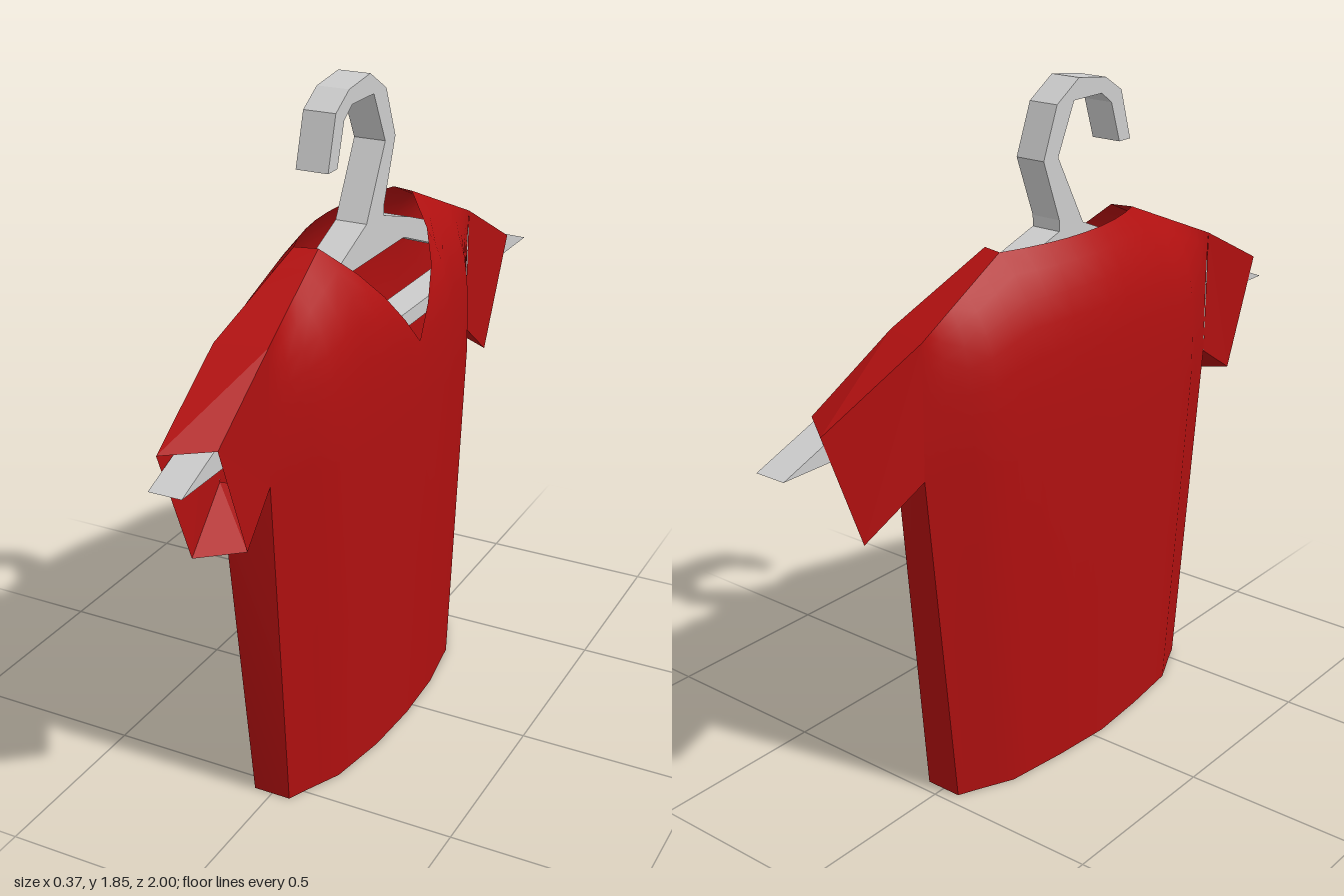
import * as THREE from 'three';

const MID = 0.04; // the shirt hangs slightly off centre along z
const NECK = 0.46, NECK_Y = 1.46, SHOULDER_Y = 1.32, ARM_Y = 0.96, V_Y = 1.15;
const lerp = THREE.MathUtils.lerp;

const red = new THREE.MeshStandardMaterial({ color: 0xb01010, side: THREE.DoubleSide });
const redFlat = new THREE.MeshStandardMaterial({ color: 0xb01010, side: THREE.DoubleSide, flatShading: true });
const grey = new THREE.MeshStandardMaterial({ color: 0xcccccc, flatShading: true });

// Piecewise linear lookup through [input, output] pairs
function lookup(table, v) {
  for (let i = 1; i < table.length; i++) {
    const [a, fa] = table[i - 1], [b, fb] = table[i];
    if (v <= b) return lerp(fa, fb, (v - a) / (b - a));
  }
  return table[table.length - 1][1];
}

// Grid surface through the points fn(u, v)
function surface(name, us, vs, fn, flip, material = red) {
  const pos = [], idx = [], n = vs.length;
  us.forEach((u) => vs.forEach((v) => pos.push(...fn(u, v))));
  for (let i = 0; i < us.length - 1; i++) {
    for (let j = 0; j < n - 1; j++) {
      const a = i * n + j, b = a + n;
      if (flip) idx.push(a, b, a + 1, b, b + 1, a + 1);
      else idx.push(a, a + 1, b, b, a + 1, b + 1);
    }
  }
  const geo = new THREE.BufferGeometry();
  geo.setAttribute('position', new THREE.Float32BufferAttribute(pos, 3));
  geo.setIndex(idx);
  geo.computeVertexNormals();
  const mesh = new THREE.Mesh(geo, material);
  mesh.name = name;
  return mesh;
}

// Shoulder height at t, where t runs from -1 to 1 across the shirt
function shoulderY(t) {
  const a = Math.abs(t);
  return a < NECK ? NECK_Y : lerp(NECK_Y, SHOULDER_Y, (a - NECK) / (1 - NECK));
}

// Depth of the top seam; the back neckline bows outward
function seamX(t, side) {
  const a = Math.abs(t);
  if (a >= NECK) return lerp(0.03, 0.065, (a - NECK) / (1 - NECK));
  return side > 0 ? 0.03 : lerp(0.085, 0.03, (a / NECK) ** 2);
}

// Point on the front (side 1) or back (side -1) of the torso
function torsoPoint(t, y, side) {
  const a = Math.abs(t);
  const belly = lookup([[0, 0.158], [ARM_Y, 0.185], [1.5, 0.185]], y);
  const round = lookup([[0, 1], [0.35, side > 0 ? 0.95 : 0.91], [0.7, 0.77], [0.9, 0.47], [1, 0.33]], a);
  const q = THREE.MathUtils.clamp((y - ARM_Y) / (shoulderY(t) - ARM_Y), 0, 1);
  const x = lerp(belly * round, seamX(t, side), q ** 4.5);
  const half = lookup([[0, 0.505], [ARM_Y, side > 0 ? 0.58 : 0.61], [1.5, side > 0 ? 0.578 : 0.61]], y);
  return [side * x, y, MID + t * half];
}

function torsoPanel(name, side) {
  const h = [0, 0.12, 0.24, 0.35, NECK, 0.58, 0.7, 0.8, 0.9, 0.96, 1];
  const ts = [...h.slice(1).reverse().map((t) => -t), ...h];
  const rows = [-1, -0.5, 0, 0.3, 0.5, 0.65, 0.78, 0.9, 1];
  return surface(name, ts, rows, (t, v) => {
    const a = Math.abs(t);
    // The front is cut down to a V
    const top = side > 0 && a < NECK ? lerp(V_Y, NECK_Y, a / NECK) : shoulderY(t);
    return torsoPoint(t, v < 0 ? ARM_Y * (1 + v) : lerp(ARM_Y, top, v), side);
  }, side < 0);
}

// Four-sided sleeve with a slanted cuff; k is the direction along z
function sleeve(name, k) {
  const base = [
    torsoPoint(1, SHOULDER_Y, 1), torsoPoint(1, ARM_Y, 1),
    torsoPoint(1, ARM_Y, -1), torsoPoint(1, SHOULDER_Y, -1),
  ];
  const cuff = [[0.08, 1.17, 0.88], [0.07, 0.85, 0.75], [-0.03, 0.85, 0.835], [-0.03, 1.17, 0.96]];
  return surface(name, [0, 1, 2, 3, 0], [base, cuff], (i, ring) => {
    const [x, y, z] = ring[i];
    return [x, y, MID + k * (z - MID)];
  }, k < 0, redFlat);
}

// Flat hanger: hook, neck, arms and lower bar cut from one outline of [z, y]
function hanger() {
  const toPoints = (list) => list.map(([a, b]) => new THREE.Vector2(a, b));
  const shape = new THREE.Shape(toPoints([
    [-1, 1.1], [1, 1.1], [0.24, 1.405], [0.1, 1.465],
    [-0.005, 1.655], [0.06, 1.79], [0.177, 1.79], [0.22, 1.76], [0.257, 1.65],
    [0.305, 1.65], [0.263, 1.787], [0.193, 1.83], [0.08, 1.845], [-0.01, 1.79],
    [-0.064, 1.655], [0, 1.49], [0, 1.46], [-0.16, 1.41],
  ]));
  shape.holes.push(new THREE.Path(toPoints([
    [0.21, 1.365], [0.72, 1.145], [-0.68, 1.145], [-0.12, 1.365],
  ])));
  const geo = new THREE.ExtrudeGeometry(shape, { depth: 0.088, bevelEnabled: false });
  geo.rotateY(-Math.PI / 2);
  geo.translate(0.058, 0, 0);
  const mesh = new THREE.Mesh(geo, grey);
  mesh.name = 'hanger';
  return mesh;
}

export function createModel() {
  const model = new THREE.Group();
  model.name = 'shirtOnHanger';
  const shirt = new THREE.Group();
  shirt.name = 'shirt';
  shirt.add(torsoPanel('neckSidePanel', 1), torsoPanel('backPanel', -1));

  for (const k of [1, -1]) {
    const label = k > 0 ? 'front' : 'rear';
    // Strip under the arm
    shirt.add(surface(label + 'SideSeam', [-1, 1], [0, ARM_Y / 2, ARM_Y],
      (side, y) => torsoPoint(k, y, side), k > 0));
    // Strip along the shoulder
    shirt.add(surface(label + 'Shoulder', [NECK, 0.58, 0.7, 0.8, 0.9, 0.96, 1], [-1, 1],
      (t, side) => torsoPoint(k * t, shoulderY(t), side), k > 0));
    shirt.add(sleeve(label + 'Sleeve', k));
  }

  model.add(shirt, hanger());
  return model;
}
